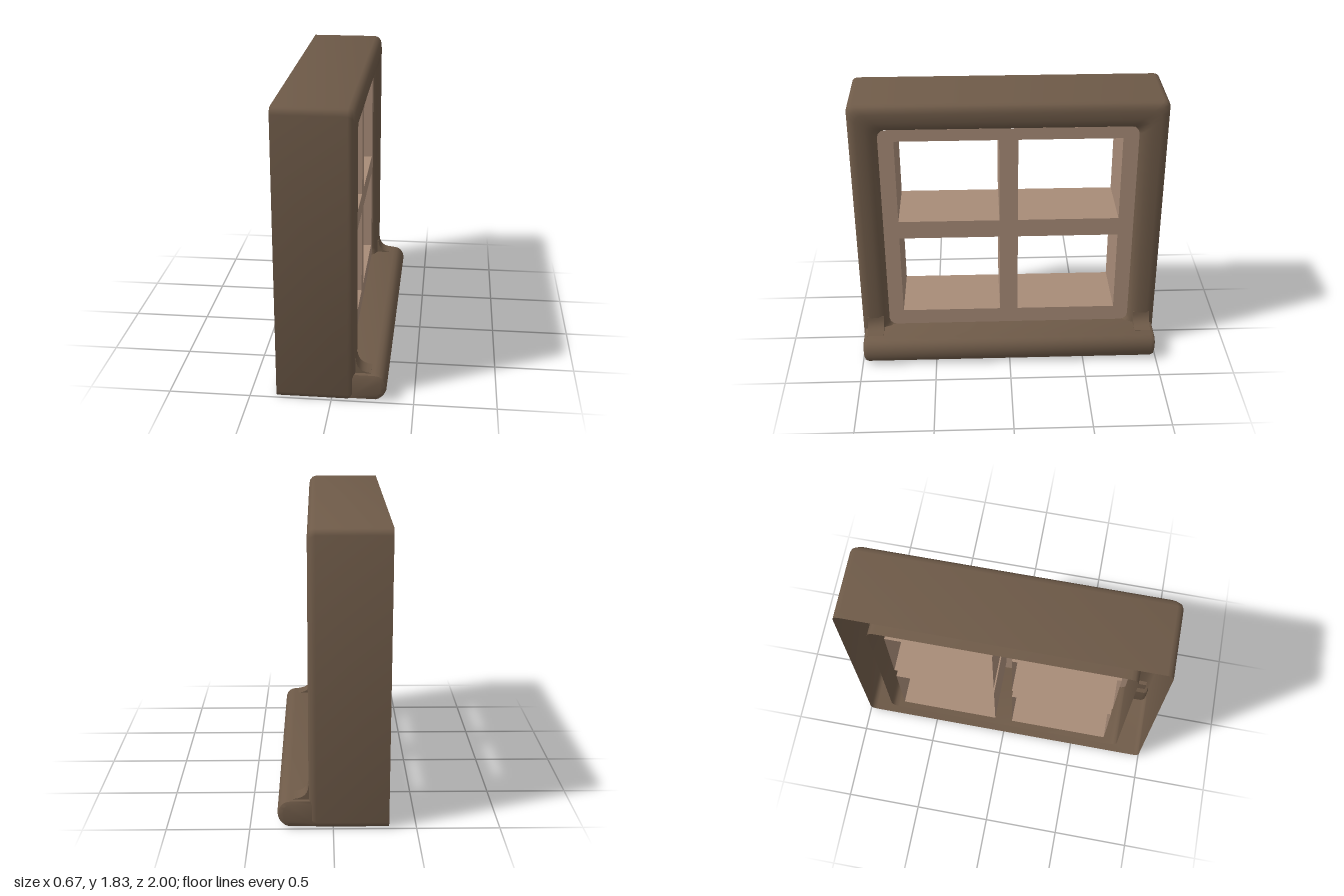
import * as THREE from 'three';
import { toCreasedNormals } from 'three/addons/utils/BufferGeometryUtils.js';

const material = (color) => new THREE.MeshStandardMaterial({ color, side: THREE.DoubleSide });
const frameMaterial = material(0x6e5a48);
const paneMaterial = material(0xa88c78);

// Corner-rounded rectangle in the plane at x, counter-clockwise seen from +x.
function rectLoop(x, h0, h1, y0, y1, r = 0) {
  const points = [];
  const steps = r > 0 ? 3 : 0;
  const corners = [[h1 - r, y0 + r], [h1 - r, y1 - r], [h0 + r, y1 - r], [h0 + r, y0 + r]];
  corners.forEach(([h, y], c) => {
    for (let k = 0; k <= steps; k++) {
      const a = (c - 1 + (steps ? k / steps : 0)) * Math.PI / 2;
      points.push([x, y + r * Math.sin(a), -(h + r * Math.cos(a))]);
    }
  });
  return points;
}

// Skin a row of closed loops.
function loft(loops, crease) {
  const n = loops[0].length;
  const index = [];
  for (let j = 0; j < loops.length - 1; j++) {
    for (let i = 0; i < n; i++) {
      const a = j * n + i, b = j * n + (i + 1) % n;
      index.push(a, b, b + n, a, b + n, a + n);
    }
  }
  const geometry = new THREE.BufferGeometry();
  geometry.setAttribute('position', new THREE.Float32BufferAttribute(loops.flat(2), 3));
  geometry.setIndex(index);
  return toCreasedNormals(geometry, crease);
}

export function createModel() {
  const group = new THREE.Group();
  const add = (name, geometry, mat) => {
    const mesh = new THREE.Mesh(geometry, mat);
    mesh.name = name;
    group.add(mesh);
    return mesh;
  };

  // Hollow frame, open at the back: [x, inset from outer to inner rectangle, corner radius]
  const profile = [
    [-0.335, 0, 0.04], [0.1, 0, 0.04], [0.125, 0.04, 0.045], [0.142, 0.14, 0.05], [0.148, 0.3, 0.05],
    [0.148, 0.62, 0.05], [0.138, 0.82, 0.05], [0.118, 0.95, 0.05], [0.09, 1, 0.05], [-0.335, 1, 0.05],
  ];
  const frameLoops = profile.map(([x, t, r]) =>
    rectLoop(x, -1 + 0.18 * t, 1 - 0.18 * t, 0.18 * t, 1.825 - 0.175 * t, r));
  add('frame', loft(frameLoops, 0.75), frameMaterial);

  // Sill with a rounded nose
  const sill = new THREE.Shape();
  sill.moveTo(0.09, 0.002);
  sill.lineTo(0.27, 0.002);
  sill.bezierCurveTo(0.31, 0.01, 0.335, 0.05, 0.335, 0.095);
  sill.bezierCurveTo(0.335, 0.14, 0.31, 0.18, 0.26, 0.18);
  sill.lineTo(0.09, 0.18);
  const sillGeometry = new THREE.ExtrudeGeometry(sill, {
    depth: 1.92, curveSegments: 5, bevelThickness: 0.03, bevelSize: 0.03, bevelOffset: -0.03, bevelSegments: 2,
  });
  sillGeometry.translate(0, 0, -0.96);
  add('sill', toCreasedNormals(sillGeometry, 0.6), frameMaterial);

  // Fillets where the side posts meet the sill
  const fillet = new THREE.Shape();
  fillet.moveTo(0.12, 0.16);
  fillet.lineTo(0.24, 0.16);
  fillet.lineTo(0.24, 0.181);
  fillet.quadraticCurveTo(0.15, 0.185, 0.147, 0.27);
  fillet.lineTo(0.12, 0.27);
  for (const side of [-1, 1]) {
    const geometry = new THREE.ExtrudeGeometry(fillet, { depth: 0.11, curveSegments: 6, bevelEnabled: false });
    geometry.translate(0, 0, side * 0.91 - 0.055);
    add(side > 0 ? 'leftFillet' : 'rightFillet', toCreasedNormals(geometry, 0.6), frameMaterial);
  }

  // Grid face with four openings, and a tube running back from each
  const toPath = (loop, PathType) => new PathType(loop.map(([, y, z]) => new THREE.Vector2(-z, y)));
  const plate = toPath(rectLoop(0, -0.82, 0.82, 0.18, 1.65, 0.05), THREE.Shape);
  for (const [h0, h1] of [[-0.72, -0.06], [0.06, 0.72]]) {
    for (const [y0, y1] of [[0.29, 0.865], [0.99, 1.57]]) {
      const front = rectLoop(0.1, h0, h1, y0, y1);
      plate.holes.push(toPath(front, THREE.Path));
      add('openingTube', loft([front, rectLoop(-0.325, h0, h1, y0, y1)], 0.3), paneMaterial);
    }
  }
  const face = add('gridFace', new THREE.ShapeGeometry(plate), paneMaterial);
  face.rotation.y = Math.PI / 2;
  face.position.x = 0.1;

  return group;
}
